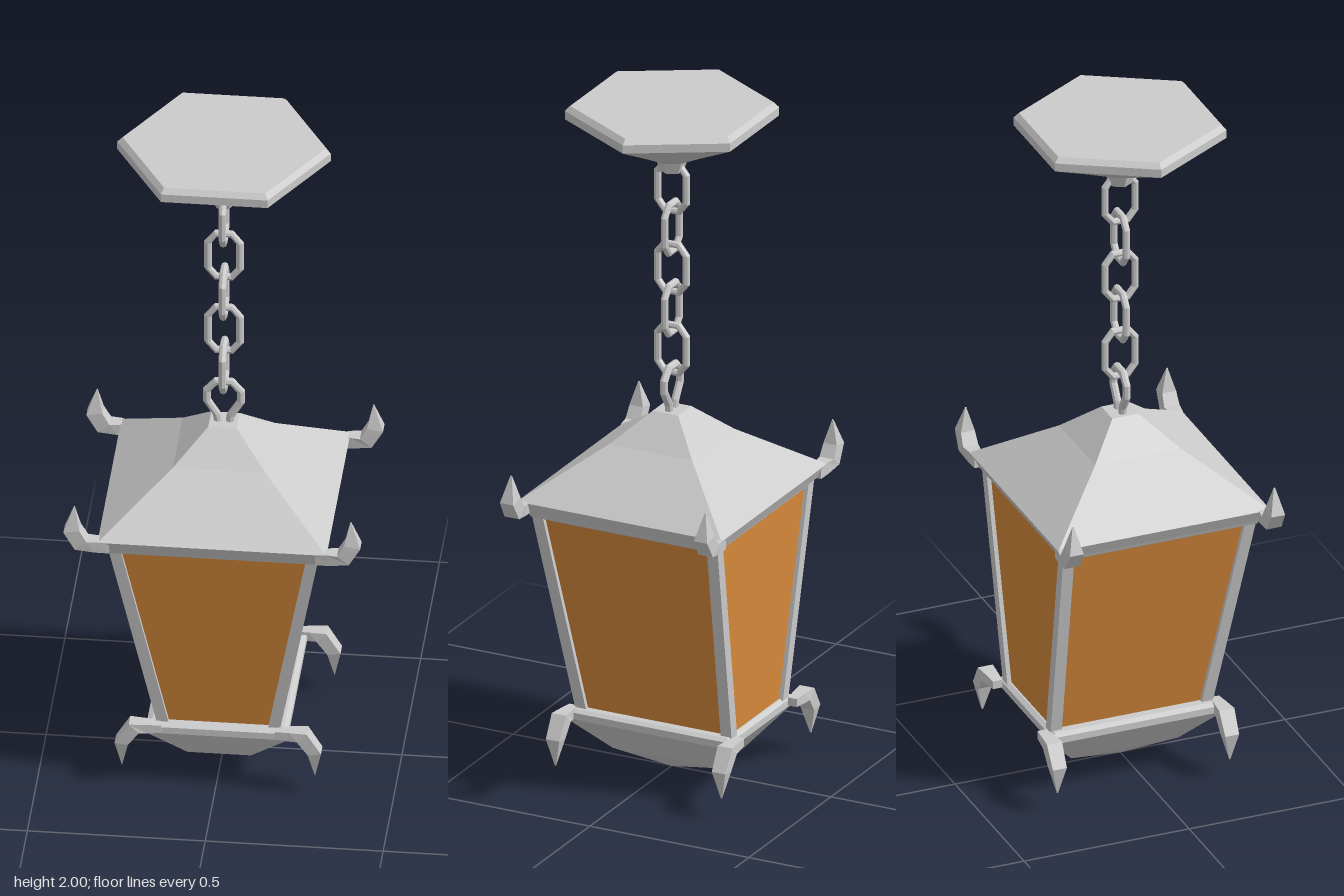
import * as THREE from 'three';

const metal = new THREE.MeshStandardMaterial({ color: 0xcccccc, flatShading: true, side: THREE.DoubleSide });
const amber = new THREE.MeshStandardMaterial({ color: 0xd6893a, side: THREE.DoubleSide });

// Skin a row of cross-sections; optionally cap the ends or join last to first.
function loft(rings, { caps = true, loop = false } = {}) {
  const pos = [];
  const tri = (a, b, c) => pos.push(...a, ...b, ...c);
  const n = rings[0].length;
  const spans = loop ? rings.length : rings.length - 1;
  for (let k = 0; k < spans; k++) {
    const a = rings[k], b = rings[(k + 1) % rings.length];
    for (let i = 0; i < n; i++) {
      const j = (i + 1) % n;
      tri(a[i], a[j], b[j]);
      tri(a[i], b[j], b[i]);
    }
  }
  if (caps && !loop) {
    const first = rings[0], last = rings[rings.length - 1];
    for (let i = 1; i < n - 1; i++) {
      tri(first[0], first[i + 1], first[i]);
      tri(last[0], last[i], last[i + 1]);
    }
  }
  const g = new THREE.BufferGeometry();
  g.setAttribute('position', new THREE.Float32BufferAttribute(pos, 3));
  g.computeVertexNormals();
  return g;
}

// Horizontal rectangle section
const rect = (y, x0, x1, z0, z1) => [[x0, y, z1], [x1, y, z1], [x1, y, z0], [x0, y, z0]];
const square = ([y, h]) => rect(y, -h, h, -h, h);

// Horizontal hexagon section with corners on the x axis
const hexagon = ([y, r]) => Array.from({ length: 6 }, (_, i) => {
  const a = i * Math.PI / 3;
  return [r * Math.cos(a), y, -r * Math.sin(a)];
});

// Round bar following a flat polyline in the xy plane
function bar(points, r, loop) {
  const n = points.length, sides = 8;
  const rings = points.map(([x, y], i) => {
    const p = points[loop ? (i + n - 1) % n : Math.max(i - 1, 0)];
    const q = points[loop ? (i + 1) % n : Math.min(i + 1, n - 1)];
    const len = Math.hypot(q[0] - p[0], q[1] - p[1]);
    const nx = (q[1] - p[1]) / len, ny = (p[0] - q[0]) / len;
    return Array.from({ length: sides }, (_, s) => {
      const a = s * 2 * Math.PI / sides, c = r * Math.cos(a);
      return [x + nx * c, y + ny * c, -r * Math.sin(a)];
    });
  });
  return loft(rings, { loop });
}

// Hooked claw: each section is [outer x, outer y, inner x, inner y, half width]
function claw(sections, upward) {
  return loft(sections.map(([ox, oy, ix, iy, w]) => {
    const ring = [[ix, iy, w], [ox, oy, w], [ox, oy, -w], [ix, iy, -w]];
    return upward ? ring : ring.reverse();
  }));
}

export function createModel() {
  const group = new THREE.Group();
  const add = (name, geometry, material = metal) => {
    const m = new THREE.Mesh(geometry, material);
    m.name = name;
    group.add(m);
    return m;
  };

  // Ceiling plate
  add('ceilingPlate', loft([
    [1.80, 0.033], [1.835, 0.046], [1.885, 0.145], [1.96, 0.30], [1.985, 0.30], [2.0, 0.285],
  ].map(hexagon)));

  // Chain of alternating octagonal links
  const link = bar([
    [0.045, -0.042], [0.045, 0.042], [0.022, 0.071], [-0.022, 0.071],
    [-0.045, 0.042], [-0.045, -0.042], [-0.022, -0.071], [0.022, -0.071],
  ], 0.011, true);
  for (let i = 0; i < 5; i++) {
    const m = add('chainLink', link);
    m.position.y = 1.75 - i * 0.122;
    if (i % 2 === 0) m.rotation.y = Math.PI / 2;
  }

  // Hanging eye on top of the roof
  const half = [[0.014, 1.06], [0.02, 1.1], [0.048, 1.145], [0.048, 1.178], [0.022, 1.208]];
  add('hangingEye', bar([...half, ...half.map(([x, y]) => [-x, y]).reverse()], 0.012, false));

  // Flared roof and the frame below it
  add('roof', loft([[0.82, 0.305], [0.855, 0.322], [0.995, 0.13], [1.08, 0.04]].map(square)));
  add('topFrame', loft([[0.797, 0.28], [0.805, 0.293], [0.822, 0.3]].map(square)));

  // Tapered glass
  add('glass', loft([rect(0.19, -0.152, 0.165, -0.267, 0.198), rect(0.805, -0.28, 0.28, -0.283, 0.277)],
    { caps: false }), amber);

  // Corner posts: outer corners lean from bottom to top
  const t = 0.034;
  for (const sx of [-1, 1]) for (const sz of [-1, 1]) {
    const section = (y, x, z) => rect(y,
      Math.min(x, x - sx * t), Math.max(x, x - sx * t),
      Math.min(z, z - sz * t), Math.max(z, z - sz * t));
    add('cornerPost', loft([
      section(0.19, sx > 0 ? 0.178 : -0.165, sz > 0 ? 0.21 : -0.28),
      section(0.81, sx * 0.294, sz > 0 ? 0.289 : -0.295),
    ]));
  }

  // Bottom pan
  add('bottomPan', loft([
    rect(0, -0.003, 0.003, -0.003, 0.003),
    rect(0.06, -0.088, 0.09, -0.185, 0.14),
    rect(0.175, -0.195, 0.203, -0.285, 0.23),
    rect(0.195, -0.195, 0.203, -0.285, 0.23),
    rect(0.203, -0.18, 0.19, -0.272, 0.217),
  ]));

  // Claws at the roof and pan corners
  const upper = claw([
    [0.29, 0.82, 0.29, 0.85, 0.014],
    [0.33, 0.823, 0.32, 0.858, 0.018],
    [0.385, 0.832, 0.352, 0.858, 0.023],
    [0.417, 0.885, 0.372, 0.893, 0.021],
    [0.389, 0.962, 0.387, 0.96, 0.002],
  ], true);
  const lower = claw([
    [0.16, 0.204, 0.16, 0.18, 0.014],
    [0.2, 0.206, 0.198, 0.178, 0.018],
    [0.25, 0.207, 0.222, 0.18, 0.023],
    [0.29, 0.143, 0.253, 0.137, 0.021],
    [0.272, 0.06, 0.27, 0.062, 0.002],
  ], false);
  for (const sx of [-1, 1]) for (const sz of [-1, 1]) {
    const a = add('roofClaw', upper);
    a.position.z = sz * 0.305;
    const b = add('panClaw', lower);
    b.position.set(0.008, 0, sz > 0 ? 0.222 : -0.3);
    a.rotation.y = b.rotation.y = sx > 0 ? 0 : Math.PI;
  }
  return group;
}
